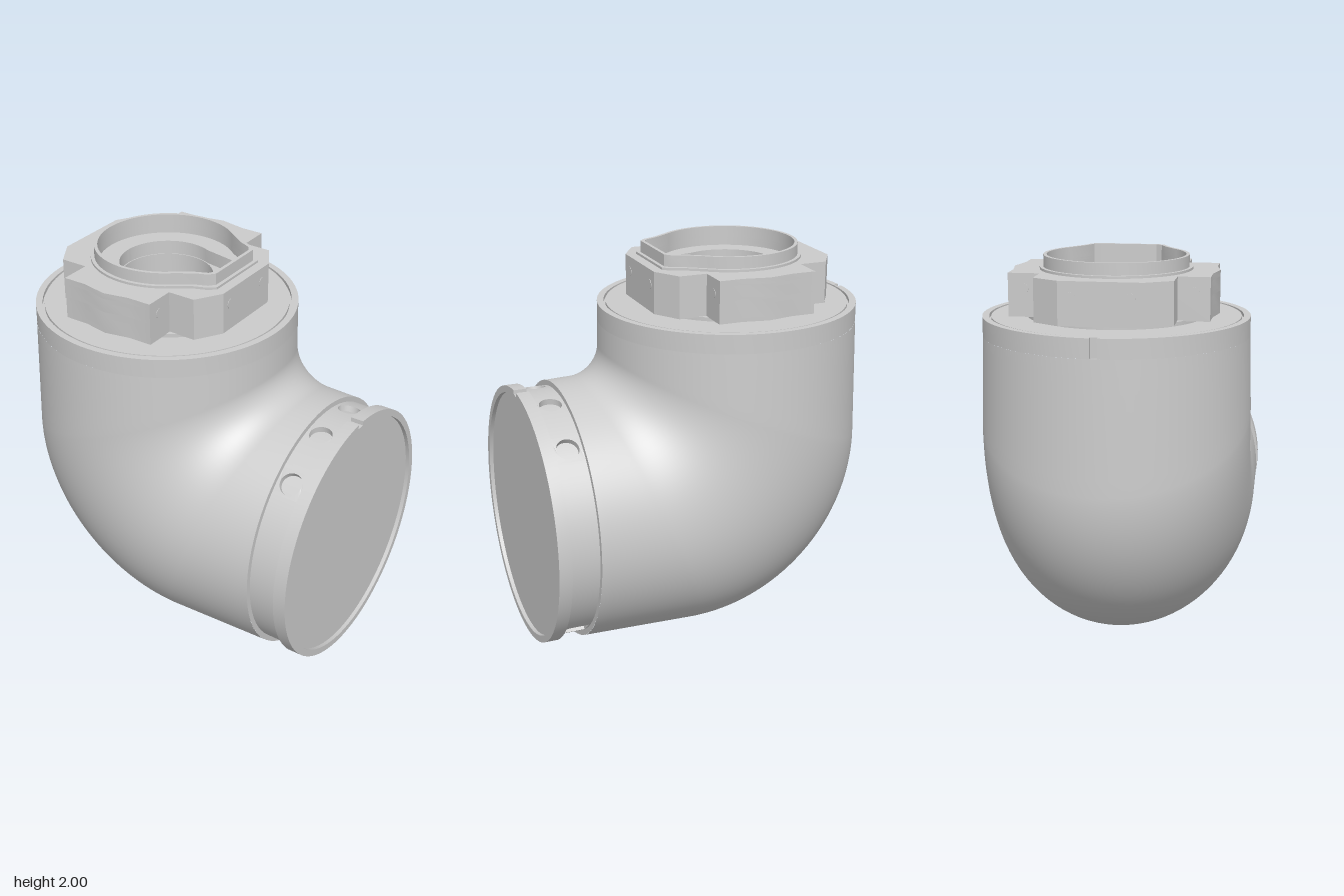
import * as THREE from 'three';
import { toCreasedNormals } from 'three/addons/utils/BufferGeometryUtils.js';

const MAT = new THREE.MeshStandardMaterial({ color: 0xcccccc });
const TOP_X = -0.23, SIDE_Y = 0.685, RIM = 0.66, RAD = Math.PI / 180;
const V = (x, y) => new THREE.Vector2(x, y);

function add(parent, name, geometry) {
  const mesh = new THREE.Mesh(geometry, MAT);
  mesh.name = name;
  parent.add(mesh);
  return mesh;
}

function extrude(shape, from, to) {
  const g = new THREE.ExtrudeGeometry(shape, { depth: to - from, bevelEnabled: false, curveSegments: 48 });
  return toCreasedNormals(g.translate(0, 0, from), 0.5);
}

// Upright slab around the top axis, between two heights
function slab(parent, name, shape, from, to) {
  const mesh = add(parent, name, extrude(shape, from, to).rotateX(-Math.PI / 2));
  mesh.position.x = TOP_X;
}

function disc(parent, name, r, from, to) {
  add(parent, name, new THREE.CylinderGeometry(r, r, to - from, 96)).position.set(TOP_X, (from + to) / 2, 0);
}

// Ring with one small notch in its outer edge at the given angle
function notchedRing(outer, inner, angle, half, depth) {
  const s = new THREE.Shape(), d = half / outer, r = outer - depth;
  s.absarc(0, 0, outer, angle + d, angle - d + Math.PI * 2, false);
  s.lineTo(r * Math.cos(angle - d), r * Math.sin(angle - d));
  s.lineTo(r * Math.cos(angle + d), r * Math.sin(angle + d));
  s.holes.push(new THREE.Path().absarc(0, 0, inner, 0, Math.PI * 2, true));
  return s;
}

// Elbow: elliptical sections spanning the outer and inner side profiles
function elbowGeometry() {
  const sections = [], N = 96, pos = [], idx = [];
  const line = (o0, o1, i0, i1, w0, w1, n) => {
    for (let k = 0; k < n; k++) {
      const t = k / n;
      sections.push([o0.clone().lerp(o1, t), i0.clone().lerp(i1, t), w0 + (w1 - w0) * t]);
    }
  };
  line(V(-0.891, 1.61), V(-0.905, 0.96), V(0.43, 1.61), V(0.434, 1.485), RIM, 0.672, 8);
  for (let k = 0; k <= 36; k++) {
    const a = Math.PI * (1 + k / 72), c = Math.cos(a), s = Math.sin(a);
    sections.push([V(0.05 + 0.955 * c, 0.96 + 0.955 * s), V(0.569 + 0.135 * c, 1.485 + 0.135 * s), 0.672]);
  }
  sections.pop();
  line(V(0.05, 0.005), V(0.69, 0.022), V(0.569, 1.35), V(0.69, 1.346), 0.672, 0.662, 8);
  sections.push([V(0.69, 0.022), V(0.69, 1.346), 0.662]);
  sections.forEach(([o, i, w], r) => {
    for (let k = 0; k < N; k++) {
      const t = k / N * Math.PI * 2, f = (1 + Math.cos(t)) / 2;
      pos.push(o.x + (i.x - o.x) * f, o.y + (i.y - o.y) * f, w * Math.sin(t));
      if (r === sections.length - 1) continue;
      const a = r * N + k, b = r * N + (k + 1) % N;
      idx.push(a, b, a + N, b, b + N, a + N);
    }
  });
  const g = new THREE.BufferGeometry();
  g.setAttribute('position', new THREE.Float32BufferAttribute(pos, 3));
  g.setIndex(idx);
  g.computeVertexNormals();
  return g;
}

// Curved panel of the side neck with a round hole or a slot in it
function neckPanel(centre, halfWidth, slot) {
  const R = 0.635, u = halfWidth * R, x0 = 0.69, x1 = 0.835, s = new THREE.Shape();
  const n = 6;
  for (let k = 0; k <= n; k++) s.lineTo(-u + 2 * u * k / n, x0);
  for (let k = 0; k <= n; k++) s.lineTo(u - 2 * u * k / n, x1);
  s.curves.shift();
  const h = new THREE.Path();
  if (slot) {
    h.moveTo(-0.055, 0.696);
    h.lineTo(-0.055, 0.785);
    h.quadraticCurveTo(-0.055, 0.82, -0.02, 0.82);
    h.lineTo(0.02, 0.82);
    h.quadraticCurveTo(0.055, 0.82, 0.055, 0.785);
    h.lineTo(0.055, 0.696);
  } else h.absarc(0, 0.762, 0.056, 0, Math.PI * 2, true);
  s.holes.push(h);
  const g = new THREE.ExtrudeGeometry(s, { depth: 0.03, bevelEnabled: false, curveSegments: 16 });
  const p = g.attributes.position;
  for (let i = 0; i < p.count; i++) {
    const a = centre - p.getX(i) / R, r = 0.605 + p.getZ(i);
    p.setXYZ(i, r * Math.sin(a), r * Math.cos(a), p.getY(i));
  }
  return toCreasedNormals(g, 0.5);
}

function buildSideCoupling() {
  const side = new THREE.Group();
  side.name = 'sideCoupling';
  const tube = (r, x0, x1, a0 = 0, a1 = 360, open = true) =>
    new THREE.CylinderGeometry(r, r, x1 - x0, Math.max(2, Math.round((a1 - a0) / 3)), 1, open, a0 * RAD, (a1 - a0) * RAD)
      .rotateX(-Math.PI / 2).translate(0, 0, (x0 + x1) / 2);
  add(side, 'neckShoulder', new THREE.RingGeometry(0.6, 0.662, 96).translate(0, 0, 0.69));
  add(side, 'neckCore', tube(0.605, 0.68, 0.84));
  // Four round holes above, two holes and two slots below
  const centres = [-40, -12.7, 12.7, 40, 140, 167.3, 192.7, 220], half = 6.2;
  centres.forEach((c, i) => {
    add(side, 'neckPanel', neckPanel(c * RAD, half * RAD, c === 140 || c === 220));
    const next = i < 7 ? centres[i + 1] : 320;
    add(side, 'neckWall', tube(0.635, 0.69, 0.835, c + half, next - half));
  });
  add(side, 'sideFlange', extrude(notchedRing(RIM, 0.625, Math.PI / 2, 0.022, 0.022), 0.835, 0.9));
  add(side, 'sideCap', tube(0.627, 0.82, 0.88, 0, 360, false));
  side.rotation.y = Math.PI / 2;
  side.position.y = SIDE_Y;
  return side;
}

// Round outline with a squared bulge toward +x, inset by d
function collarPath(d, Type = THREE.Path) {
  const p = new Type(), r = 0.375 - d;
  const pts = [[0.32 - d * 0.3, 0.235 - d], [0.385 - d * 0.5, 0.21 - d], [0.42 - d, 0.18 - d]];
  p.absarc(0, 0, r, 50 * RAD, 310 * RAD, false);
  pts.forEach(([x, y]) => p.lineTo(x, -y));
  pts.reverse().forEach(([x, y]) => p.lineTo(x, y));
  p.closePath();
  return p;
}

function pocketPath() {
  const p = new THREE.Path();
  p.absarc(0, 0, 0.235, 65 * RAD, 295 * RAD, false);
  p.lineTo(0.25, -0.185);
  p.quadraticCurveTo(0.315, -0.175, 0.315, -0.11);
  p.lineTo(0.315, 0.11);
  p.quadraticCurveTo(0.315, 0.175, 0.25, 0.185);
  p.closePath();
  return p;
}

function buildTopMount() {
  const top = new THREE.Group();
  top.name = 'topMount';
  disc(top, 'mountNeck', 0.44, 1.69, 1.722);
  // Eared plate: one quarter outline mirrored twice
  const q = [[0.47, 0.2], [0.39, 0.33], [0.25, 0.33], [0.25, 0.485], [0.13, 0.485], [0, 0.51]];
  const upper = [...q, ...q.slice(0, -1).reverse().map(([x, y]) => [-x, y])];
  const outline = [...upper, ...upper.slice().reverse().map(([x, y]) => [x, -y])].map(([x, y]) => V(x, y));
  const tier = (hole, from, to) => {
    const s = new THREE.Shape(outline);
    s.holes.push(hole);
    slab(top, 'mountPlate', s, from, to);
  };
  tier(new THREE.Path().absarc(0, 0, 0.23, 0, Math.PI * 2, true), 1.72, 1.83);
  tier(pocketPath(), 1.83, 1.9);
  tier(collarPath(0.035), 1.9, 1.93);
  // Collar lip with a small foot
  [[0, 1.93, 1.942], [0.018, 1.942, 2]].forEach(([d, from, to]) => {
    const s = collarPath(d, THREE.Shape);
    s.holes.push(collarPath(0.035));
    slab(top, 'collar', s, from, to);
  });
  // Screws on both ends and on the ear sides
  for (const sx of [-1, 1]) for (const [x, z] of [[0.47, 0.14], [0.47, -0.14], [0.25, 0.41], [0.25, -0.41]]) {
    const screw = add(top, 'screw', new THREE.CylinderGeometry(0.025, 0.025, 0.01, 20).rotateZ(Math.PI / 2));
    screw.position.set(TOP_X + sx * (x - 0.003), 1.855, z);
  }
  return top;
}

export function createModel() {
  const model = new THREE.Group();
  model.name = 'elbowFitting';
  add(model, 'elbowBody', elbowGeometry());
  // Top rim with a notch at the back of the bend, and the lid inside it
  slab(model, 'topRim', notchedRing(RIM, 0.626, Math.PI, 0.018, 0.025), 1.61, 1.705);
  disc(model, 'grooveFloor', 0.63, 1.62, 1.685);
  disc(model, 'topLid', 0.616, 1.66, 1.703);
  model.add(buildSideCoupling(), buildTopMount());
  return model;
}
